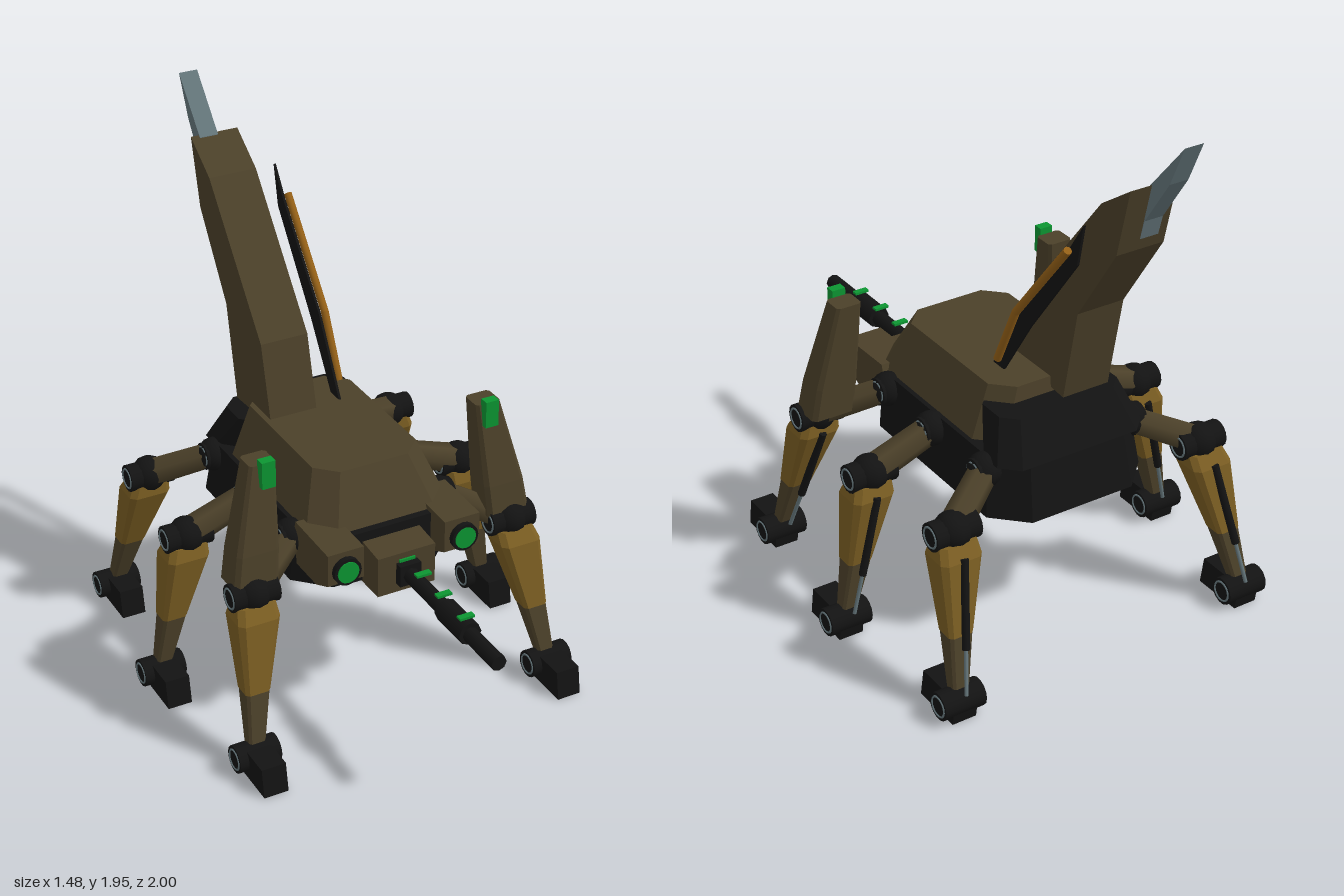
import * as THREE from 'three';

const mat = (name, color, side = THREE.FrontSide) => {
  const m = new THREE.MeshStandardMaterial({ color, side });
  m.name = name;
  return m;
};

export function createModel() {
  const model = new THREE.Group();
  model.name = 'walker';
  const brown = mat('armour brown', 0x4b4029);
  const ochre = mat('ochre plating', 0x7a5d22);
  const black = mat('dark metal', 0x131313);
  const green = mat('green light', 0x0c9632);
  const steel = mat('steel', 0x64757a);
  const copper = mat('copper pipe', 0x946017);

  const add = (parent, name, geo, material, x = 0, y = 0, z = 0) => {
    const m = new THREE.Mesh(geo, material);
    m.name = name;
    m.position.set(x, y, z);
    parent.add(m);
    return m;
  };
  const box = (parent, name, material, size, pos) =>
    add(parent, name, new THREE.BoxGeometry(...size), material, ...pos);

  // Rod between two points
  const rod = (parent, name, material, a, b, r, sides = 10, r2 = r) => {
    const A = new THREE.Vector3(...a), B = new THREE.Vector3(...b);
    const d = B.clone().sub(A);
    const m = add(parent, name, new THREE.CylinderGeometry(r2, r, d.length(), sides), material);
    m.position.copy(A).add(B).multiplyScalar(0.5);
    m.quaternion.setFromUnitVectors(new THREE.Vector3(0, 1, 0), d.normalize());
    return m;
  };

  // Chamfered rectangles [cx, y, cz, halfX, halfZ, chamfer] stacked upwards
  const loft = (rings) => {
    const pts = rings.map(([cx, y, cz, w, d, c]) => [
      [w, d - c], [w, c - d], [w - c, -d], [c - w, -d],
      [-w, c - d], [-w, d - c], [c - w, d], [w - c, d],
    ].map(([x, z]) => [cx + x, y, cz + z]));
    const out = [];
    const tri = (...v) => v.forEach((p) => out.push(...p));
    for (let k = 0; k < pts.length - 1; k++) {
      for (let i = 0; i < 8; i++) {
        const j = (i + 1) % 8;
        tri(pts[k][i], pts[k][j], pts[k + 1][j]);
        tri(pts[k][i], pts[k + 1][j], pts[k + 1][i]);
      }
    }
    const top = pts[pts.length - 1], low = pts[0];
    for (let i = 1; i < 7; i++) {
      tri(top[0], top[i], top[i + 1]);
      tri(low[0], low[i + 1], low[i]);
    }
    const g = new THREE.BufferGeometry();
    g.setAttribute('position', new THREE.Float32BufferAttribute(out, 3));
    g.computeVertexNormals();
    return g;
  };

  // Side profile of [z, y] points, extruded from x0 to x1
  const profile = (points, x0, x1) => {
    const shape = new THREE.Shape(points.map(([z, y]) => new THREE.Vector2(-z, y)));
    return new THREE.ExtrudeGeometry(shape, { depth: x1 - x0, bevelEnabled: false })
      .rotateY(Math.PI / 2).translate(x0, 0, 0);
  };

  // Body
  add(model, 'lowerHull', loft([
    [0, 0.53, -0.2, 0.31, 0.45, 0.11], [0, 0.74, -0.18, 0.285, 0.43, 0.1],
  ]), black);
  add(model, 'upperHull', loft([
    [0, 0.73, -0.1, 0.272, 0.37, 0.08], [0, 0.925, -0.14, 0.2, 0.31, 0.07],
  ]), brown);
  add(model, 'rearCowl', loft([
    [0, 0.73, -0.53, 0.288, 0.1, 0.06], [0, 0.87, -0.45, 0.235, 0.1, 0.05],
  ]), black);

  // Head with the gun
  box(model, 'noseBack', black, [0.31, 0.19, 0.14], [0, 0.65, 0.22]);
  add(model, 'head', profile([[0.2, 0.55], [0.4, 0.55], [0.4, 0.7], [0.3, 0.71], [0.2, 0.71]], -0.11, 0.11), brown);
  box(model, 'gunMount', black, [0.08, 0.08, 0.04], [0, 0.625, 0.41]);
  box(model, 'sightLight', green, [0.06, 0.01, 0.008], [0, 0.672, 0.403]);
  rod(model, 'barrel', black, [0, 0.623, 0.38], [0, 0.623, 1], 0.028, 8);
  rod(model, 'barrelSleeve', black, [0, 0.625, 0.66], [0, 0.625, 0.82], 0.042, 8);
  for (const z of [0.51, 0.645, 0.79]) {
    box(model, 'barrelLight', green, [0.055, 0.009, 0.023], [0, 0.675, z]);
  }

  // Headlamp pods
  for (const s of [-1, 1]) {
    add(model, 'lampPod', profile(
      [[0.1, 0.6], [0.3, 0.6], [0.385, 0.64], [0.385, 0.76], [0.15, 0.765]], s * 0.223 - 0.068, s * 0.223 + 0.068), brown);
    rod(model, 'lampHousing', black, [s * 0.225, 0.69, 0.37], [s * 0.225, 0.69, 0.405], 0.051, 16);
    rod(model, 'lampLens', green, [s * 0.225, 0.69, 0.4], [s * 0.225, 0.69, 0.409], 0.04, 16);
  }

  // Tall offset fin with its blade
  add(model, 'fin', profile([
    [-0.25, 0.9], [-0.525, 0.88], [-0.595, 1.225], [-0.79, 1.52],
    [-0.85, 1.765], [-0.705, 1.665], [-0.32, 1.19],
  ], -0.18, 0), brown);
  add(model, 'finBlade', profile([
    [-0.84, 1.76], [-0.8, 1.56], [-0.82, 1.63], [-0.935, 1.8], [-1, 1.945],
  ], -0.15, -0.08), steel);

  // Thin vane and the pipe beside it
  add(model, 'vane', profile([
    [-0.26, 0.91], [-0.32, 0.91], [-0.48, 1.155], [-0.73, 1.49], [-0.76, 1.64], [-0.69, 1.535], [-0.42, 1.2],
  ], 0.096, 0.105), black);
  const pipe = [[0.126, 0.97, -0.325], [0.126, 1.195, -0.43], [0.126, 1.54, -0.71]];
  rod(model, 'pipeLower', copper, pipe[0], pipe[1], 0.014);
  rod(model, 'pipeUpper', copper, pipe[1], pipe[2], 0.014);
  add(model, 'pipeBend', new THREE.SphereGeometry(0.014, 10, 8), copper, ...pipe[1]);

  // Round joint along x with a steel ring at each end
  const joint = (parent, name, [x, y, z], r, half) => {
    rod(parent, name, black, [x - half, y, z], [x + half, y, z], r, 14);
    for (const e of [-1, 1]) {
      const ring = add(parent, name + 'Ring', new THREE.TorusGeometry(r * 0.72, 0.004, 5, 18), steel, x + e * half, y, z);
      ring.rotation.y = Math.PI / 2;
    }
  };

  // Legs: hip, knee and ankle positions on the left side
  const legs = [
    ['front', [0.29, 0.69, 0.11], [0.5, 0.6, 0.24], [0.58, 0.065, 0.4]],
    ['middle', [0.3, 0.69, -0.19], [0.545, 0.6, -0.19], [0.66, 0.065, -0.2]],
    ['rear', [0.29, 0.69, -0.5], [0.495, 0.6, -0.625], [0.58, 0.065, -0.79]],
  ];
  for (const s of [-1, 1]) {
    for (const [place, ...joints] of legs) {
      const leg = new THREE.Group();
      leg.name = place + 'Leg';
      model.add(leg);
      const [hip, knee, ankle] = joints.map(([x, y, z]) => [x * s, y, z]);
      const along = (y) => {
        const t = (knee[1] - y) / (knee[1] - ankle[1]);
        return [knee[0] + (ankle[0] - knee[0]) * t, y, knee[2] + (ankle[2] - knee[2]) * t];
      };

      // Hip and upper arm
      add(leg, 'hip', new THREE.SphereGeometry(0.062, 12, 8), black, ...hip);
      joint(leg, 'hipJoint', hip, 0.05, 0.045);
      rod(leg, 'upperArm', brown, hip, knee, 0.05, 6, 0.055);

      // Knee
      add(leg, 'knee', new THREE.SphereGeometry(0.066, 12, 8), black, ...knee);
      joint(leg, 'kneeJoint', knee, 0.05, 0.085);

      // Shin and its plating
      add(leg, 'shin', loft([
        [...along(0.1), 0.03, 0.026, 0.008], [...along(0.3), 0.044, 0.042, 0.01],
      ]), brown);
      add(leg, 'shinPlating', loft([
        [...along(0.285), 0.046, 0.042, 0.012], [...along(0.53), 0.078, 0.068, 0.02],
        [...along(0.575), 0.07, 0.05, 0.02],
      ]), ochre);

      // Piston behind the shin
      const back = (y, dz) => { const p = along(y); return [p[0], y, p[2] - dz]; };
      rod(leg, 'pistonSleeve', black, back(0.54, 0.068), back(0.25, 0.058), 0.014, 8);
      rod(leg, 'pistonRod', steel, back(0.26, 0.058), back(0.1, 0.05), 0.007, 8);

      // Ankle and foot
      joint(leg, 'ankle', ankle, 0.05, 0.078);
      add(leg, 'foot', profile([
        [-0.035, 0], [0.16, 0], [0.143, 0.105], [-0.01, 0.105], [-0.045, 0.06],
      ], -0.045, 0.045), black, ankle[0], 0, ankle[2]);

      // Tall shield with a lamp on the front legs
      if (place === 'front') {
        add(leg, 'shield', loft([
          [s * 0.49, 0.63, 0.2, 0.082, 0.065, 0.015], [s * 0.475, 0.75, 0.19, 0.078, 0.062, 0.015],
          [s * 0.43, 1.055, 0.155, 0.047, 0.042, 0.01],
        ]), brown);
        box(leg, 'shieldLamp', green, [0.05, 0.1, 0.035], [s * 0.425, 1.03, 0.213]);
      }
    }
  }
  return model;
}
